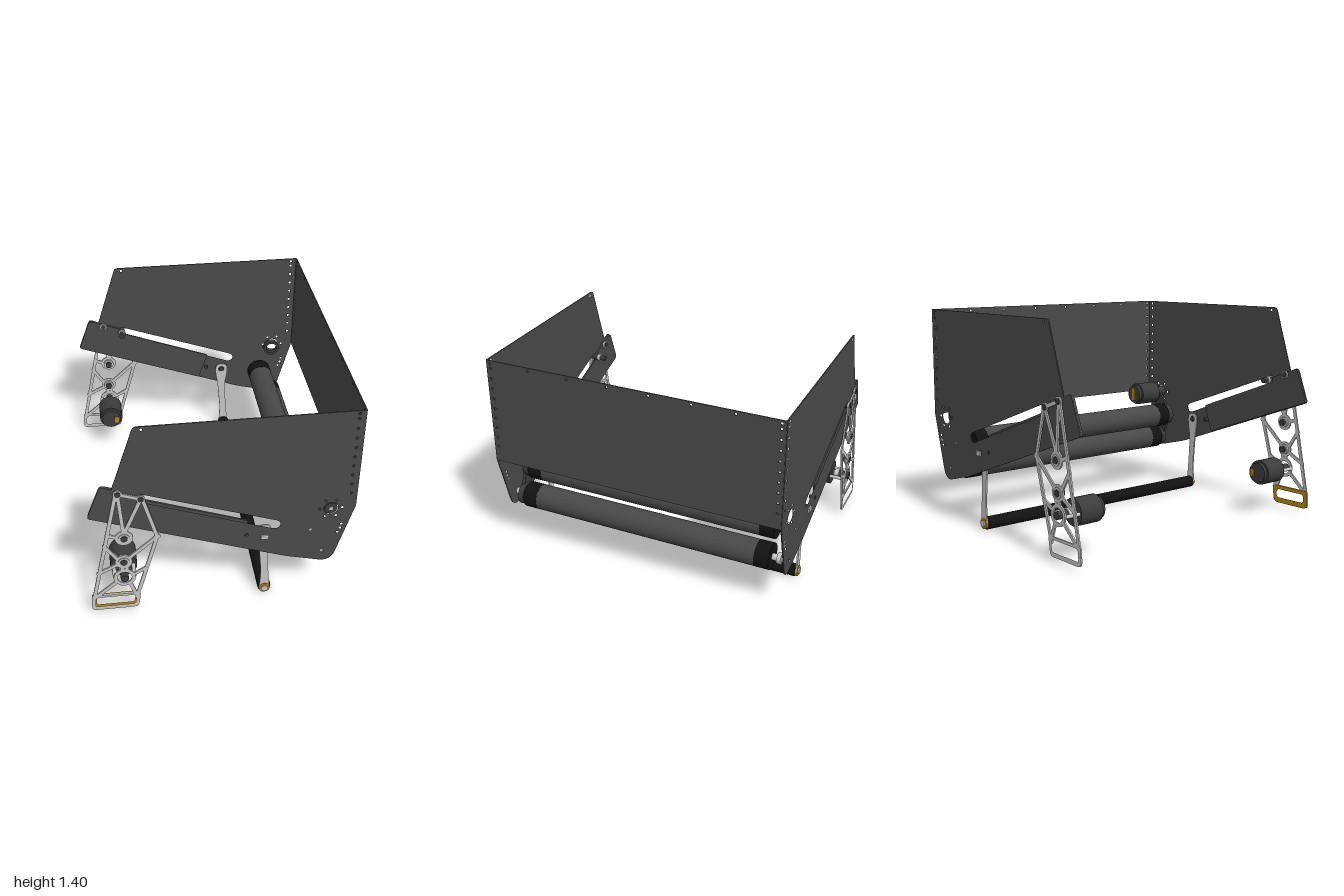
import * as THREE from 'three';
import { mergeGeometries } from 'three/addons/utils/BufferGeometryUtils.js';

const material = (name, color) => {
  const m = new THREE.MeshStandardMaterial({ color });
  m.name = name;
  return m;
};

// Polygon with rounded corners; each point is [x, y, cornerLength]
function roundedPoly(points, Type = THREE.Shape) {
  const path = new Type();
  points.forEach(([x, y, r = 0], i) => {
    const p = new THREE.Vector2(x, y);
    const toward = (q) => new THREE.Vector2(q[0], q[1]).sub(p).setLength(r).add(p);
    const a = toward(points[(i + points.length - 1) % points.length]);
    const b = toward(points[(i + 1) % points.length]);
    if (i === 0) path.moveTo(a.x, a.y);
    else path.lineTo(a.x, a.y);
    if (r) path.quadraticCurveTo(x, y, b.x, b.y);
  });
  path.closePath();
  return path;
}

function roundHole(x, y, r) {
  return new THREE.Path().absarc(x, y, r, 0, Math.PI * 2, true);
}

// Flat plate, centred on z = 0
function plate(shape, holes, depth) {
  shape.holes.push(...holes);
  const g = new THREE.ExtrudeGeometry(shape, { depth, bevelEnabled: false, curveSegments: 8 });
  return g.translate(0, 0, -depth / 2);
}

// Round-ended bar between two points
function bar(a, b, w, depth) {
  const t = Math.atan2(b[1] - a[1], b[0] - a[0]);
  const s = new THREE.Shape();
  s.absarc(a[0], a[1], w / 2, t + Math.PI / 2, t + Math.PI * 1.5, false);
  s.absarc(b[0], b[1], w / 2, t - Math.PI / 2, t + Math.PI / 2, false);
  s.closePath();
  return plate(s, [], depth);
}

function ring(x, y, outer, inner, depth) {
  return plate(new THREE.Shape().absarc(x, y, outer, 0, Math.PI * 2, false), [roundHole(x, y, inner)], depth);
}

// Cylinder along z from z0 to z1
function rod(x, y, r, z0, z1, sides = 28) {
  const g = new THREE.CylinderGeometry(r, r, Math.abs(z1 - z0), sides);
  return g.rotateX(Math.PI / 2).translate(x, y, (z0 + z1) / 2);
}

export function createModel() {
  const root = new THREE.Group();
  const sheet = material('dark sheet', 0x4a4a4a);
  const tube = material('roller grey', 0x484848);
  const black = material('black rubber', 0x121212);
  const motorGrey = material('motor grey', 0x3c3c3c);
  const alloy = material('light alloy', 0xc6c6c6);
  const gold = material('gold', 0xb8860b);

  const add = (name, geometry, mat, z = 0) => {
    const m = new THREE.Mesh(geometry, mat);
    m.name = name;
    m.position.z = z;
    root.add(m);
    return m;
  };

  const rivetY = Array.from({ length: 9 }, (_, i) => 0.807 + i * 0.068);

  // Parts repeated on both sides
  for (const s of [1, -1]) {
    const side = s > 0 ? 'front' : 'rear';
    const span = (x, y, r, a, b, n) => rod(x, y, r, s * a, s * b, n);

    // Side plate with long slot, rivet holes and motor mount
    const outline = roundedPoly([
      [-0.505, 1.405, 0.025], [0.812, 1.405], [0.812, 0.7], [0.69, 0.262, 0.085], [0.4, 0.338, 0.04],
      [-0.798, 0.772, 0.02], [-0.71, 1.005, 0.03], [-0.645, 0.975],
    ]);
    const slot = roundedPoly([[-0.49, 0.93, 0.02], [0.37, 0.625, 0.045], [0.345, 0.565, 0.045], [-0.49, 0.87, 0.02]], THREE.Path);
    const holes = [slot, roundHole(0.66, 0.7, 0.045)];
    rivetY.forEach((y) => holes.push(roundHole(0.772, y, 0.008)));
    [[-0.46, 1.385], [0.772, 1.385], [0.735, 0.567], [0.73, 0.535], [0.715, 0.503], [0.625, 0.36], [0.545, 0.54]]
      .forEach(([x, y]) => holes.push(roundHole(x, y, 0.008)));
    for (let i = 0; i < 6; i++) {
      const a = (i * Math.PI) / 3;
      holes.push(roundHole(0.66 + 0.07 * Math.cos(a), 0.7 + 0.07 * Math.sin(a), 0.008));
    }
    add(side + 'SidePlate', plate(outline, holes, 0.007), sheet, s * 0.967);

    // Stiffener plate inside the lower arm
    const stiffener = roundedPoly([
      [-0.796, 0.775, 0.02], [-0.71, 1.0, 0.03], [-0.48, 0.915, 0.01], [-0.47, 0.878], [0.16, 0.645, 0.01], [0.095, 0.455, 0.01],
    ]);
    add(side + 'ArmStiffener', plate(stiffener, [], 0.012), sheet, s * 0.956);

    // Truss leg
    const d = 0.01;
    const top = [-0.612, 0.95], top2 = [-0.48, 0.902], knee = [-0.392, 0.605];
    const struts = [
      [[-0.795, 0.13], [-0.625, 0.945]], [top, top2], [[-0.47, 0.9], knee], [knee, [-0.53, 0.12]],
      [top, [-0.592, 0.66]], [top2, [-0.582, 0.66]], [knee, [-0.565, 0.45]],
      [[-0.71, 0.56], [-0.64, 0.45]], [[-0.69, 0.64], [-0.635, 0.62]], [[-0.757, 0.34], [-0.64, 0.4]],
      [[-0.61, 0.38], [-0.61, 0.35]], [[-0.58, 0.38], [-0.585, 0.35]],
      [[-0.46, 0.36], [-0.53, 0.32]], [[-0.66, 0.25], [-0.785, 0.14]], [[-0.565, 0.23], [-0.53, 0.13]],
    ].map(([a, b]) => bar(a, b, 0.023, d));
    const foot = (grow, inset) => plate(
      roundedPoly([[-0.815, 0.033, 0.035], [-0.81, 0.155, 0.02], [-0.505, 0.155, 0.02], [-0.522, 0.033, 0.035]]),
      [roundedPoly([[-0.79 + inset, 0.062 + inset, 0.015], [-0.787 + inset, 0.137 - inset, 0.015],
        [-0.53 - inset, 0.137 - inset, 0.015], [-0.542 - inset, 0.062 + inset, 0.015]], THREE.Path)], grow);
    add(side + 'Leg', mergeGeometries([
      ...struts, foot(d, 0), ring(-0.59, 0.612, 0.055, 0.022, d), ring(-0.6, 0.422, 0.053, 0.02, d),
      ring(-0.6, 0.292, 0.068, 0.045, d), ring(...top, 0.028, 0.01, d), ring(...top2, 0.026, 0.01, d),
      ring(...knee, 0.02, 0.008, d),
    ]), alloy, s * 0.983);
    if (s > 0) add('goldFootLiner', foot(0.008, 0.008), gold, 0.974);

    // Leg pivots, hubs and drive shaft
    add(side + 'LegPins', mergeGeometries([
      span(...top, 0.018, 0.93, 0.993), span(...top2, 0.018, 0.87, 0.993), span(-0.59, 0.612, 0.022, 0.95, 0.997),
      span(-0.6, 0.422, 0.022, 0.95, 0.997), span(-0.6, 0.292, 0.025, 0.87, 1),
    ]), motorGrey);
    add(side + 'LegSpacers', mergeGeometries([
      span(...top2, 0.026, 0.905, 0.925), span(...top, 0.026, 0.935, 0.948), span(-0.59, 0.612, 0.035, 0.965, 0.993),
      span(-0.6, 0.422, 0.035, 0.965, 0.993), span(-0.66, 0.292, 0.012, 0.87, 0.978),
      span(-0.54, 0.292, 0.012, 0.87, 0.978), span(-0.6, 0.292, 0.034, 0.9, 0.93),
    ]), alloy);

    // Leg motor
    add(side + 'LegMotor', mergeGeometries([
      span(-0.6, 0.292, 0.084, 0.72, 0.88), span(-0.6, 0.292, 0.07, 0.695, 0.72),
    ]), motorGrey);
    add(side + 'LegMotorTerminals', new THREE.BoxGeometry(0.03, 0.05, 0.012).translate(-0.56, 0.29, s * 0.692), gold);

    // Swing arm that carries the lower bar
    const swing = roundedPoly([
      [0.222, 0.575, 0.045], [0.312, 0.575, 0.045], [0.312, 0.5, 0.03], [0.293, 0.39, 0.04], [0.305, 0.18, 0.05],
      [0.322, 0.008, 0.035], [0.25, 0.008, 0.035], [0.258, 0.18, 0.05], [0.24, 0.39, 0.04], [0.222, 0.5, 0.03],
    ]);
    add(side + 'SwingArm', plate(swing, [roundHole(0.267, 0.53, 0.022)], 0.01), alloy, s * 0.928);
    add(side + 'SwingPivot', span(0.267, 0.53, 0.018, 0.915, 0.967), motorGrey);
    add(side + 'BarBearing', span(0.285, 0.042, 0.036, 0.92, 0.936), gold);
    add(side + 'BarBolt', span(0.285, 0.042, 0.022, 0.93, 0.945), alloy);
    add(side + 'ArmBracket', new THREE.BoxGeometry(0.048, 0.03, 0.012).translate(0.262, 0.515, s * 0.974), alloy);
    add(side + 'ArmBolt', span(0.152, 0.538, 0.013, 0.935, 0.975), motorGrey);
  }

  // Back panel with rivet holes along three edges
  const panelHoles = [];
  for (const z of [-0.94, 0.94]) rivetY.forEach((y) => panelHoles.push(roundHole(z, y, 0.008)));
  for (let i = 0; i < 8; i++) panelHoles.push(roundHole(-0.94 + i * 0.2686, 1.385, 0.008));
  const panel = plate(roundedPoly([[-0.967, 0.7], [0.967, 0.7], [0.967, 1.405], [-0.967, 1.405]]), panelHoles, 0.007);
  add('backPanel', panel.rotateY(-Math.PI / 2).translate(0.812, 0, 0), sheet);

  // Pair of large rollers with black end sleeves, shafts and pulleys
  [['upper', 0.545, 0.537], ['lower', 0.625, 0.36]].forEach(([name, x, y]) => {
    add(name + 'Roller', rod(x, y, 0.085, -0.77, 0.77, 40), tube);
    for (const s of [1, -1]) add(name + 'RollerSleeve', rod(x, y, 0.0855, s * 0.77, s * 0.865, 40), black);
    add(name + 'RollerShaft', rod(x, y, 0.022, -0.965, 0.965), alloy);
    add(name + 'RollerCollar', rod(x, y, 0.036, -0.925, -0.9), alloy);
    add(name + 'RollerPulley', rod(x, y, 0.075, 0.875, 0.915), motorGrey);
  });
  add('driveCover', mergeGeometries([
    bar([0.66, 0.7], [0.545, 0.537], 0.09, 0.02), bar([0.545, 0.537], [0.625, 0.36], 0.09, 0.02),
  ]), motorGrey, 0.905);

  // Roller motor and its mount, with an encoder wheel on the far side
  add('rollerMotor', mergeGeometries([
    rod(0.66, 0.7, 0.08, 0.7, 0.87), rod(0.66, 0.7, 0.066, 0.675, 0.7), rod(0.66, 0.7, 0.04, 0.87, 0.972),
  ]), motorGrey);
  add('rollerMotorTerminals', new THREE.BoxGeometry(0.03, 0.09, 0.01).translate(0.66, 0.7, 0.672), gold);
  add('rollerMotorHub', rod(0.66, 0.7, 0.014, 0.96, 0.978), alloy);
  add('encoderWheel', ring(0.645, 0.7, 0.058, 0.04, 0.035), motorGrey, -0.915);

  // Lower cross bar
  add('crossBar', rod(0.285, 0.042, 0.042, -0.918, 0.918, 32), black);
  return root;
}
